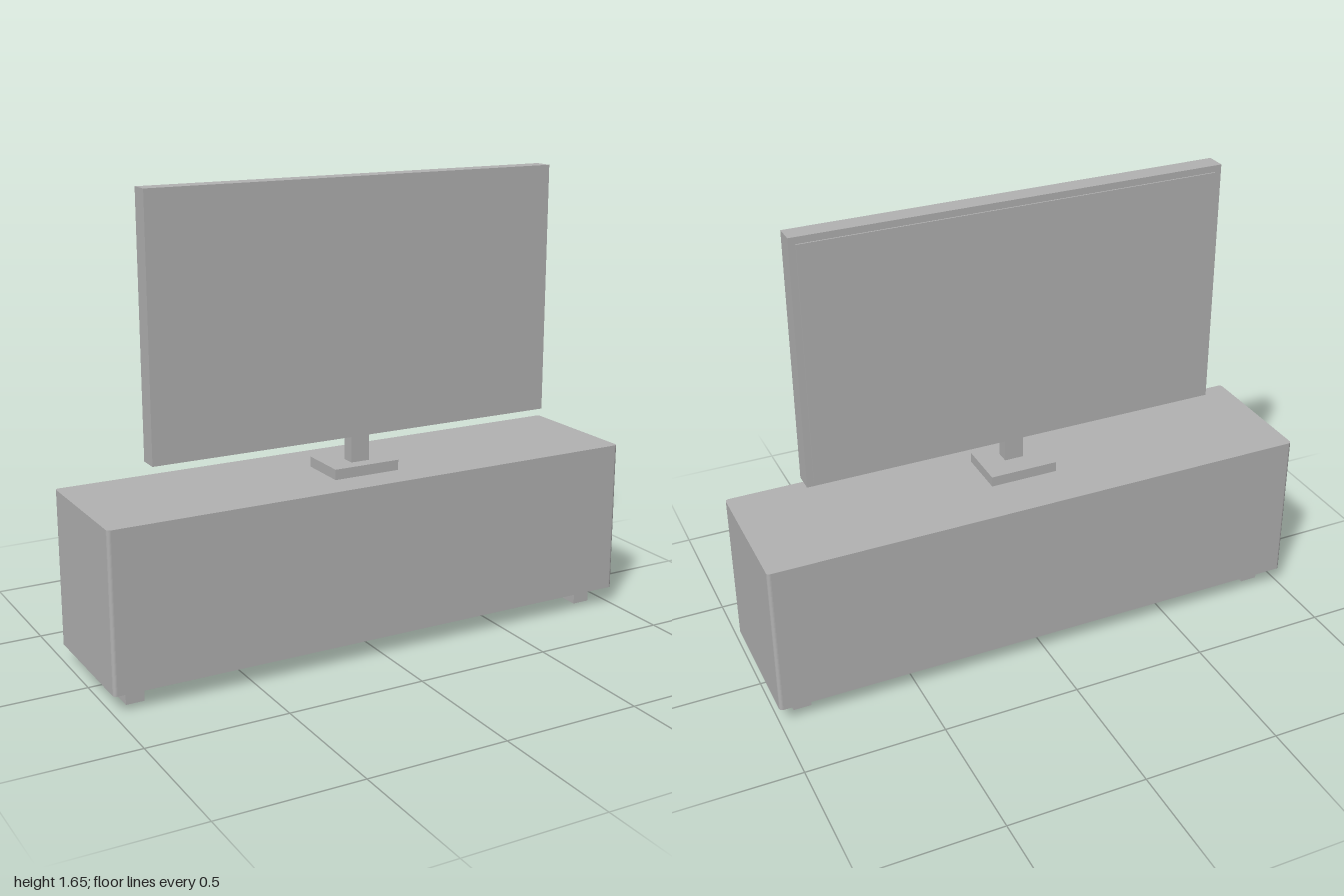
import * as THREE from 'three';

export function createModel() {
  const model = new THREE.Group();
  const grey = new THREE.MeshStandardMaterial({ color: 0xb2b2b2 });
  grey.name = 'grey';

  // Box given by its extents on each axis
  const box = (name, [x0, x1], [y0, y1], [z0, z1], parent = model) => {
    const mesh = new THREE.Mesh(new THREE.BoxGeometry(x1 - x0, y1 - y0, z1 - z0), grey);
    mesh.position.set((x0 + x1) / 2, (y0 + y1) / 2, (z0 + z1) / 2);
    mesh.name = name;
    parent.add(mesh);
    return mesh;
  };

  // Cabinet: rectangle with small rounded vertical edges, extruded upwards
  const w = 1, d = 0.248, r = 0.0125;
  const outline = new THREE.Shape();
  outline.absarc(w - r, d - r, r, 0, Math.PI / 2);
  outline.absarc(-w + r, d - r, r, Math.PI / 2, Math.PI);
  outline.absarc(-w + r, -d + r, r, Math.PI, Math.PI * 1.5);
  outline.absarc(w - r, -d + r, r, Math.PI * 1.5, Math.PI * 2);
  outline.closePath();
  const cabinetGeometry = new THREE.ExtrudeGeometry(outline, {
    depth: 0.56, bevelEnabled: false, curveSegments: 3,
  });
  cabinetGeometry.rotateX(-Math.PI / 2);
  const cabinet = new THREE.Mesh(cabinetGeometry, grey);
  cabinet.position.y = 0.066;
  cabinet.name = 'cabinet';
  model.add(cabinet);

  // Runner feet under both ends
  box('leftFoot', [0.873, 0.938], [0, 0.066], [-0.186, 0.186]);
  box('rightFoot', [-0.938, -0.873], [0, 0.066], [-0.186, 0.186]);

  // Television with its stand and thin back panel
  const television = new THREE.Group();
  television.name = 'television';
  model.add(television);
  box('standBase', [-0.125, 0.125], [0.626, 0.663], [-0.062, 0.125], television);
  box('standNeck', [-0.035, 0.035], [0.663, 0.755], [0.025, 0.075], television);
  box('screenBody', [-0.774, 0.774], [0.755, 1.654], [0.003, 0.075], television);
  box('backPanel', [-0.75, 0.75], [0.775, 1.63], [-0.002, 0.003], television);

  return model;
}
